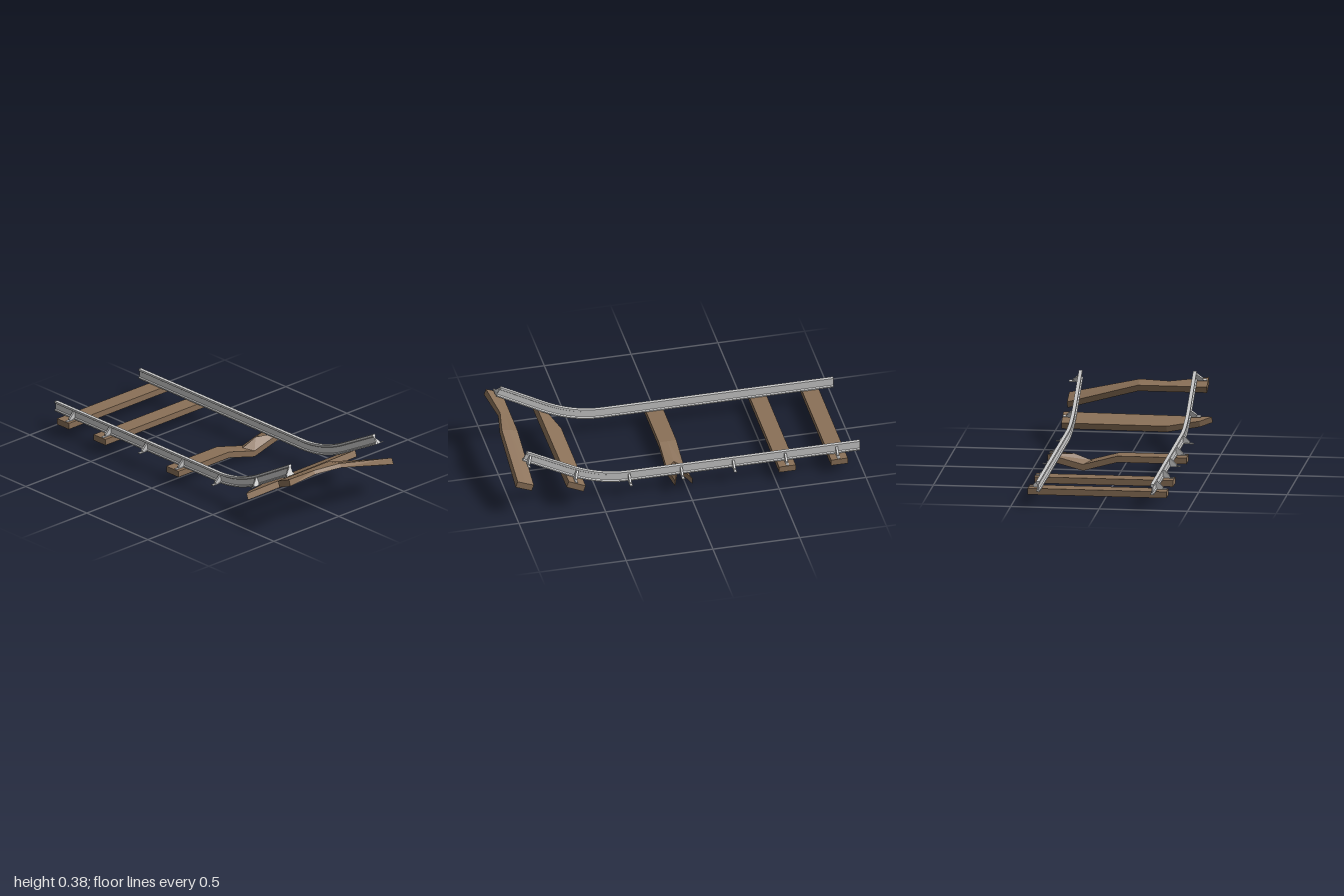
import * as THREE from 'three';
import { toCreasedNormals } from 'three/addons/utils/BufferGeometryUtils.js';

const wood = new THREE.MeshStandardMaterial({ color: 0x8b7158, side: THREE.DoubleSide, flatShading: true });
const metal = new THREE.MeshStandardMaterial({ color: 0xcccccc });

// Triangle collector
function builder() {
  const pos = [];
  const tri = (a, b, c) => pos.push(...a, ...b, ...c);
  return {
    tri,
    quad: (a, b, c, d) => { tri(a, b, c); tri(a, c, d); },
    geometry() {
      const g = new THREE.BufferGeometry();
      g.setAttribute('position', new THREE.Float32BufferAttribute(pos, 3));
      g.computeVertexNormals();
      return g;
    },
  };
}

// Track path: level, easing into a straight climb
const BEND = 0.33, EASE = 0.35, SLOPE = 0.56;
function track(z, climb) {
  const t = Math.max(0, z - BEND);
  const s = SLOPE * climb;
  const y = t < EASE ? s * t * t / (2 * EASE) : s * (t - EASE / 2);
  return { y: 0.12 + y, angle: Math.atan(s * Math.min(1, t / EASE)) };
}

// I-shaped rail swept along the track path
function rail(x, climb) {
  const half = [[0.010, -0.03], [0.010, -0.023], [0.004, -0.018], [0.004, 0.014], [0.010, 0.018], [0.010, 0.03]];
  const profile = [...half, ...half.slice().reverse().map(([px, py]) => [-px, py])];
  const zs = [-1];
  for (let i = 0; i <= 14; i++) zs.push(BEND + (EASE * i) / 14);
  zs.push(0.93);
  const rings = zs.map((z) => {
    const { y, angle } = track(z, climb);
    return profile.map(([px, py]) => [x + px, y + py * Math.cos(angle), z - py * Math.sin(angle)]);
  });
  const b = builder(), n = profile.length;
  for (let i = 0; i + 1 < rings.length; i++) {
    for (let k = 0; k < n; k++) {
      const m = (k + 1) % n;
      b.quad(rings[i][k], rings[i][m], rings[i + 1][m], rings[i + 1][k]);
    }
  }
  const first = rings[0], last = rings[rings.length - 1];
  const faces = THREE.ShapeUtils.triangulateShape(profile.map((p) => new THREE.Vector2(...p)), []);
  for (const [p, q, r] of faces) {
    b.tri(last[p], last[q], last[r]);
    b.tri(first[r], first[q], first[p]);
  }
  return new THREE.Mesh(toCreasedNormals(b.geometry(), 0.5), metal);
}

// Foot plate and triangular gusset on the outside of a rail
const gussetShape = new THREE.Shape([[0, 0], [0.04, 0], [0.04, 0.012], [0.006, 0.046], [0, 0.046]]
  .map((p) => new THREE.Vector2(...p)));
const gussetGeometry = new THREE.ExtrudeGeometry(gussetShape, { depth: 0.012, bevelEnabled: false });
gussetGeometry.translate(0.004, -0.03, -0.006);
const footGeometry = new THREE.BoxGeometry(0.058, 0.005, 0.016);
footGeometry.translate(0.036, -0.0285, 0);

function bracket(x, z, climb, side) {
  const g = new THREE.Group();
  const { y, angle } = track(z, climb);
  const gusset = new THREE.Mesh(gussetGeometry, metal);
  const foot = new THREE.Mesh(footGeometry, metal);
  gusset.name = 'gusset';
  foot.name = 'footPlate';
  g.add(gusset, foot);
  g.position.set(x, y, z);
  g.rotation.set(-angle, side < 0 ? Math.PI : 0, 0);
  return g;
}

// Hollow plank, open below. Each station gives its front, middle and back top
// points; an optional fourth number is that point's wall height.
function plank(stations, lean = 0) {
  const b = builder();
  const top = stations.map((s) => s.map((p) => p.slice(0, 3)));
  const low = stations.map((s) => s.map(([x, y, z, h = 0.036]) => [x, y - h, z + lean]));
  const loops = top.map(([f, m, k], i) => [low[i][0], f, m, k, low[i][2]]);
  for (let i = 0; i + 1 < loops.length; i++) {
    for (let k = 0; k < 4; k++) b.quad(loops[i][k], loops[i + 1][k], loops[i + 1][k + 1], loops[i][k + 1]);
  }
  const e = stations.length - 1;
  for (let k = 0; k < 2; k++) {
    b.quad(low[e][k], low[e][k + 1], top[e][k + 1], top[e][k]);
    b.quad(top[0][k], top[0][k + 1], low[0][k + 1], low[0][k]);
  }
  return new THREE.Mesh(b.geometry(), wood);
}

// Station straight across a plank
function across(x, yf, zf, yb, zb, h = 0.036) {
  return [[x, yf, zf, h], [x, (yf + yb) / 2, (zf + zb) / 2], [x, yb, zb]];
}

export function createModel() {
  const model = new THREE.Group();
  const add = (mesh, name) => { mesh.name = name; model.add(mesh); };

  // Rails with their brackets
  for (const [name, x, side, climb, shift] of [['left', 0.346, 1, 0.95, 0], ['right', -0.3, -1, 1, 0.02]]) {
    add(rail(x, climb), name + 'Rail');
    for (const z of [-0.865, -0.57, -0.27, 0.03, 0.33, 0.635, 0.905]) {
      add(bracket(x, z + shift, climb, side), name + 'Bracket');
    }
  }

  // Two sound ties
  for (const z of [-0.867, -0.567]) {
    add(plank([-0.37, 0.415].map((x) => across(x, 0.09, z + 0.048, 0.09, z - 0.048))), 'straightTie');
  }

  // Sagging tie with a split end
  const zf = 0.08, zm = 0.03, zb = -0.02;
  add(plank([
    across(-0.37, 0.09, zf, 0.09, zb),
    across(0.02, 0.09, zf, 0.09, zb),
    [[0.215, 0.037, zf], [0.17, 0.052, zm], [0.215, 0.037, zb]],
    [[0.415, 0.09, zf], [0.27, 0.089, zm], [0.415, 0.09, zb]],
  ]), 'splitTie');

  // Tilted tie with a broken corner
  add(plank([
    [[-0.425, 0.172, 0.695], [-0.36, 0.155, 0.65], [-0.18, 0.133, 0.595]],
    across(0.415, 0.18, 0.692, 0.136, 0.595),
  ], 0.013), 'brokenTie');

  // Twisted tie hanging at the raised end
  add(plank([
    across(-0.37, 0.335, 0.985, 0.298, 0.895),
    across(-0.15, 0.314, 0.955, 0.298, 0.895, 0.02),
    across(0.02, 0.315, 0.985, 0.298, 0.895, 0.022),
    across(0.42, 0.228, 0.988, 0.191, 0.895),
  ], 0.012), 'twistedTie');

  return model;
}
